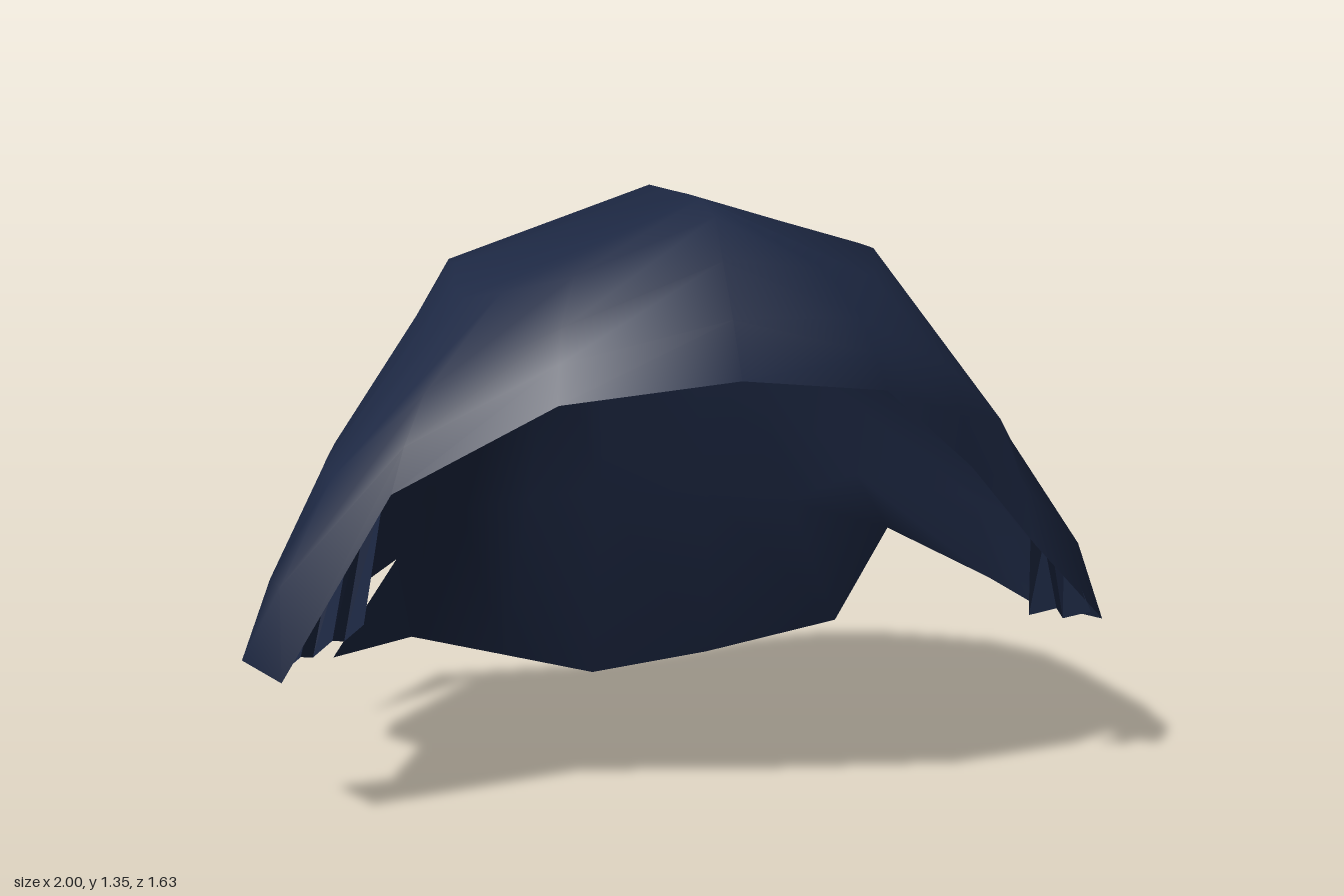
import * as THREE from 'three';
import { mergeVertices } from 'three/addons/utils/BufferGeometryUtils.js';

// Rings run from the front centre round by the left side, the back and the right side.
const shoulder = [
  [.03, 1.32, .53], [.28, 1.2, .53], [.42, 1.17, .43], [.47, 1.18, .3], [.49, 1.21, .2],
  [.49, 1.21, .08], [.47, 1.2, -.1], [.4, 1.18, -.28], [.26, 1.18, -.38], [.13, 1.2, -.44],
  [.02, 1.2, -.48], [-.1, 1.2, -.46], [-.18, 1.18, -.39], [-.27, 1.17, -.31], [-.37, 1.17, -.2],
  [-.46, 1.18, -.06], [-.48, 1.185, .08], [-.485, 1.2, .2], [-.51, 1.16, .29], [-.5, 1.14, .38],
  [-.43, 1.16, .46], [-.28, 1.2, .53],
];
const waist = [
  [.02, 1.235, .64], [.34, 1.1, .61], [.58, .97, .51], [.72, .84, .45], [.81, .76, .27],
  [.79, .77, .12], [.74, .78, -.06], [.56, .8, -.33], [.4, .82, -.5], [.23, .96, -.55],
  [.02, 1.06, -.555], [-.12, .98, -.56], [-.25, .82, -.54], [-.36, .8, -.42], [-.53, .78, -.25],
  [-.69, .78, -.09], [-.75, .78, .08], [-.79, .77, .24], [-.81, .77, .34], [-.8, .76, .42],
  [-.61, .95, .51], [-.33, 1.1, .63],
];
const skirt = [
  [.02, 1.12, .73], [.36, 1.03, .65], [.61, .86, .51], [.77, .69, .47], [.94, .53, .38],
  [.85, .55, .16], [.84, .56, -.06], [.62, .58, -.36], [.5, .48, -.55], [.3, .5, -.61],
  [.02, .52, -.62], [-.17, .5, -.62], [-.34, .48, -.62], [-.43, .52, -.55], [-.69, .52, -.25],
  [-.78, .53, -.08], [-.76, .53, .07], [-.84, .53, .3], [-.94, .54, .42], [-.93, .54, .52],
  [-.66, .84, .54], [-.35, 1.03, .69],
];
const hem = [
  [.02, 1, .81], [.38, .95, .68], [.64, .74, .49], [.8, .55, .48], [1, .35, .39],
  [.9, .35, .18], [.88, .36, -.07], [.72, .43, -.4], [.68, .12, -.73], [.34, .04, -.78],
  [.03, 0, -.78], [-.2, .05, -.82], [-.45, .12, -.78], [-.51, .36, -.62], [-.77, .31, -.2],
  [-.83, .35, -.07], [-.77, .36, .06], [-.88, .36, .34], [-1, .35, .37], [-.93, .33, .52],
  [-.69, .74, .55], [-.36, .95, .74],
];

// Joins rows of points into one smooth sheet
function sheet(rows, closed) {
  const n = rows[0].length, index = [];
  for (let r = 0; r < rows.length - 1; r++) {
    for (let c = 0; c < (closed ? n : n - 1); c++) {
      const d = (c + 1) % n, a = r * n;
      index.push(a + c, a + n + c, a + d, a + d, a + n + c, a + n + d);
    }
  }
  let g = new THREE.BufferGeometry();
  g.setAttribute('position', new THREE.Float32BufferAttribute(rows.flat(2), 3));
  g.setIndex(index);
  g = mergeVertices(g, 1e-4);
  g.computeVertexNormals();
  return g;
}

export function createModel() {
  const group = new THREE.Group();
  const cloth = new THREE.MeshStandardMaterial({ color: 0x1d2843, side: THREE.DoubleSide });
  cloth.name = 'navy cloth';
  const add = (name, geometry) => {
    const mesh = new THREE.Mesh(geometry, cloth);
    mesh.name = name;
    group.add(mesh);
  };

  // Hood: a ridge of shared points that dips at the back, draped over the shoulder to the hem
  const spine = [[.03, 1.35, .4], [.03, 1.35, .28], [.03, 1.345, .1], [.03, 1.34, -.11], [.03, 1.285, -.34]];
  const ridge = shoulder.map((p) => spine.reduce((best, s) =>
    Math.abs(s[2] - p[2]) < Math.abs(best[2] - p[2]) ? s : best));
  add('hood', sheet([ridge, shoulder, waist, skirt, hem], true));

  // Torn corner hanging from the back of the neck
  add('tornCorner', sheet([[hem[13], hem[13]], [[-.7, .16, -.42], hem[12]]], false));

  // Gathered pleats inside the two front corners
  const pleat = (top, bottom, count) => {
    const rows = [[], []];
    for (let i = 0; i <= count; i++) {
      const t = i / count, fold = i % 2 ? .05 : -.02;
      [top, bottom].forEach(([a, b], k) => {
        const p = a.map((v, j) => THREE.MathUtils.lerp(v, b[j], t));
        rows[k].push([p[0], p[1] + (k ? fold * .5 : 0), p[2] + fold * (k ? 1 : .3)]);
      });
    }
    const g = sheet(rows, false).toNonIndexed();
    g.computeVertexNormals();
    return g;
  };
  add('rightPleats', pleat([[-.85, .63, .43], [-.69, .74, .44]], [[-.92, .34, .45], [-.74, .41, .4]], 5));
  add('leftPleats', pleat([[.8, .56, .45], [.9, .53, .38]], [[.83, .37, .38], [.96, .35, .37]], 3));
  return group;
}
